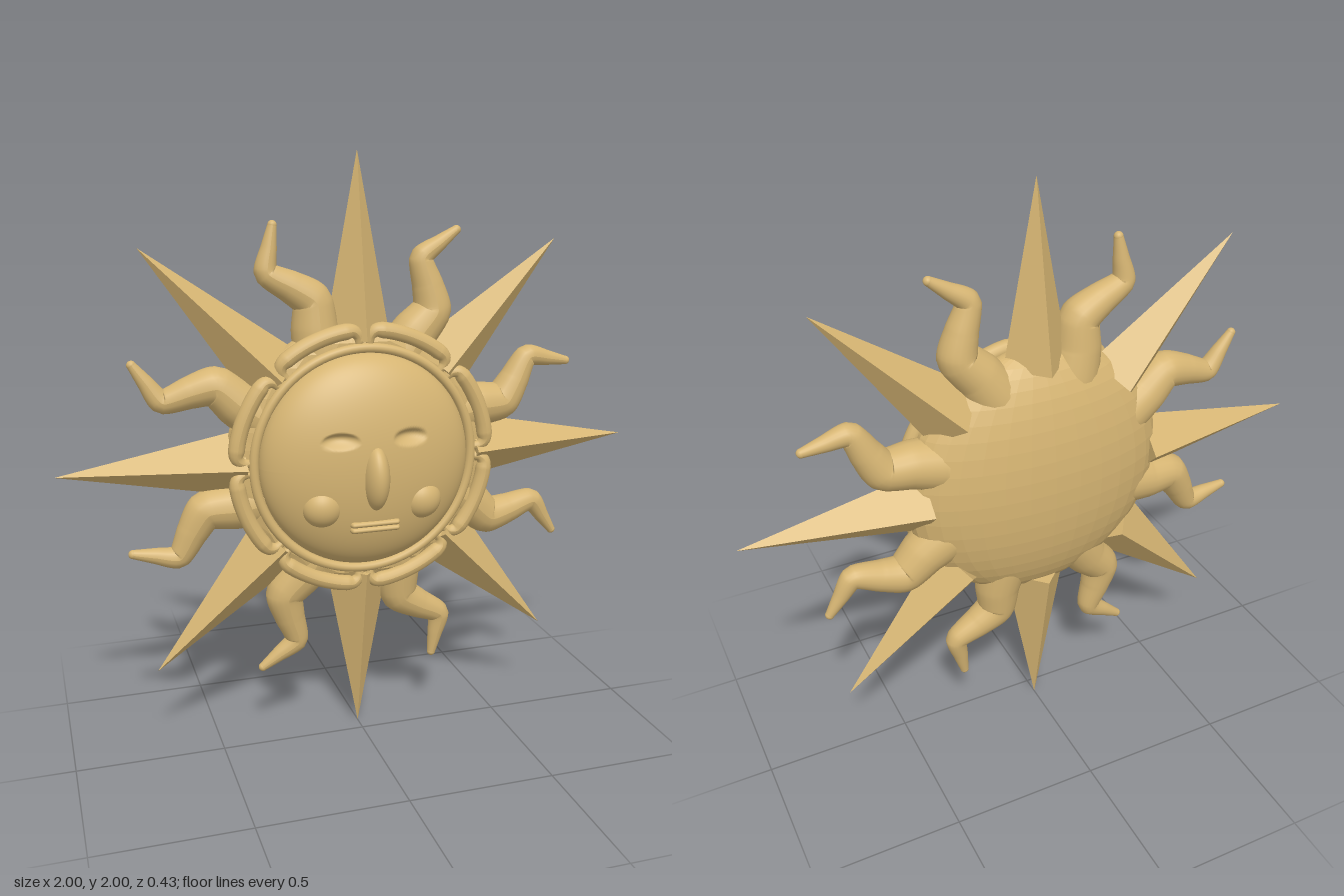
import * as THREE from 'three';

const gold = new THREE.MeshStandardMaterial({ color: 0xd6b573 });
gold.name = 'warm gold';

const RAY_Z = -0.06;
const polar = (r, deg, z = 0) => {
  const a = THREE.MathUtils.degToRad(deg);
  return new THREE.Vector3(r * Math.sin(a), r * Math.cos(a), z);
};

function add(parent, name, geometry, x = 0, y = 0, z = 0) {
  const mesh = new THREE.Mesh(geometry, gold);
  mesh.name = name;
  mesh.position.set(x, y, z);
  parent.add(mesh);
  return mesh;
}

function faceted(geometry) {
  const g = geometry.toNonIndexed();
  g.computeVertexNormals();
  return g;
}

const ellipsoid = (rx, ry, rz) => new THREE.SphereGeometry(1, 32, 24).scale(rx, ry, rz);

// Round tube whose radius follows a rule along the path
function taperedTube(curve, segments, sides, radiusAt) {
  const g = new THREE.TubeGeometry(curve, segments, 1, sides);
  const pos = g.attributes.position;
  const v = new THREE.Vector3();
  for (let i = 0; i <= segments; i++) {
    const p = curve.getPointAt(i / segments);
    const r = radiusAt(i / segments);
    for (let j = 0; j <= sides; j++) {
      const k = i * (sides + 1) + j;
      v.fromBufferAttribute(pos, k).sub(p).multiplyScalar(r).add(p);
      pos.setXYZ(k, v.x, v.y, v.z);
    }
  }
  g.computeVertexNormals();
  return g;
}

// Domed face with two hollow closed eyes
function faceGeometry() {
  const g = new THREE.SphereGeometry(1, 160, 90, 0, Math.PI * 2, 0, Math.PI / 2);
  g.rotateX(Math.PI / 2).scale(0.36, 0.36, 0.145);
  const pos = g.attributes.position;
  for (let i = 0; i < pos.count; i++) {
    const dx = (Math.abs(pos.getX(i)) - 0.118) / 0.062;
    const dy = (pos.getY(i) - 0.098) / 0.028;
    const d = dx * dx + dy * dy;
    if (d < 1) pos.setZ(i, pos.getZ(i) - 0.022 * (1 - d) * (1 + 0.6 * dy));
  }
  g.computeVertexNormals();
  return g;
}

// Rounded back shell, levelled off behind the face
function shellGeometry() {
  const g = new THREE.SphereGeometry(1, 32, 24).scale(0.455, 0.455, 0.163);
  const pos = g.attributes.position;
  for (let i = 0; i < pos.count; i++) pos.setZ(i, Math.min(pos.getZ(i), 0.075));
  return faceted(g);
}

export function createModel() {
  const model = new THREE.Group();
  model.name = 'sun';
  const sun = new THREE.Group();
  sun.name = 'sunBody';
  sun.position.y = 1;
  model.add(sun);

  add(sun, 'backShell', shellGeometry(), 0, 0, -0.052);

  // Face and its features
  const face = new THREE.Group();
  face.name = 'faceGroup';
  sun.add(face);
  add(face, 'face', faceGeometry(), 0, 0, 0.02);
  add(face, 'nose', ellipsoid(0.045, 0.11, 0.075), 0, -0.03, 0.138);
  for (const s of [-1, 1]) {
    add(face, s > 0 ? 'leftCheek' : 'rightCheek', ellipsoid(0.07, 0.068, 0.06), s * 0.17, -0.125, 0.102);
  }
  for (const y of [-0.186, -0.205]) {
    const lip = new THREE.CapsuleGeometry(0.0115, 0.148, 6, 16).rotateZ(Math.PI / 2).scale(1, 1, 2);
    add(face, y > -0.19 ? 'upperLip' : 'lowerLip', lip, 0, y, 0.133);
  }

  // Raised round rim around the face
  add(sun, 'faceRim', new THREE.TorusGeometry(0.377, 0.016, 12, 96), 0, 0, 0.028);

  // Pyramid rays
  const rayGeo = faceted(new THREE.ConeGeometry(0.113, 0.6, 4));
  // Crooked flame, thick at the root and narrow at the tip
  const flamePath = new THREE.CatmullRomCurve3([
    [0.15, 0.33], [0.20, 0.405], [0.262, 0.478], [0.247, 0.56],
    [0.222, 0.652], [0.285, 0.70], [0.345, 0.742],
  ].map(([x, y]) => new THREE.Vector3(x, y, 0)), false, 'catmullrom', 0.3);
  const flameRadius = t => 0.09 - 0.075 * Math.pow(t, 1.1);
  const flameGeo = taperedTube(flamePath, 60, 20, flameRadius);
  const tip = flamePath.getPoint(1);

  // Collar piece: an arc whose ends hook inward
  const collarPoints = [polar(0.39, 2.6), polar(0.415, 2.8), polar(0.433, 5)];
  for (let a = 10; a <= 35; a += 5) collarPoints.push(polar(0.436, a));
  collarPoints.push(polar(0.433, 40), polar(0.415, 42.2), polar(0.39, 42.4));
  const collarPath = new THREE.CatmullRomCurve3(collarPoints);
  const collarRadius = t => 0.013 + 0.014 * Math.min(1, 5 * Math.min(t, 1 - t));
  const collarGeo = taperedTube(collarPath, 60, 14, collarRadius);

  for (let i = 0; i < 8; i++) {
    const sector = new THREE.Group();
    sector.name = `sector${i + 1}`;
    sector.rotation.z = -i * Math.PI / 4;
    sun.add(sector);
    add(sector, 'ray', rayGeo, 0, 0.7, RAY_Z);
    add(sector, 'flame', flameGeo, 0, 0, RAY_Z);
    add(sector, 'flameTip', new THREE.SphereGeometry(0.0152, 16, 12), tip.x, tip.y, RAY_Z);
    add(sector, 'collar', collarGeo, 0, 0, 0.02);
    for (const end of [0, 1]) {
      const p = collarPath.getPoint(end);
      add(sector, 'collarEnd', new THREE.SphereGeometry(0.0132, 14, 10), p.x, p.y, 0.02);
    }
  }
  return model;
}
